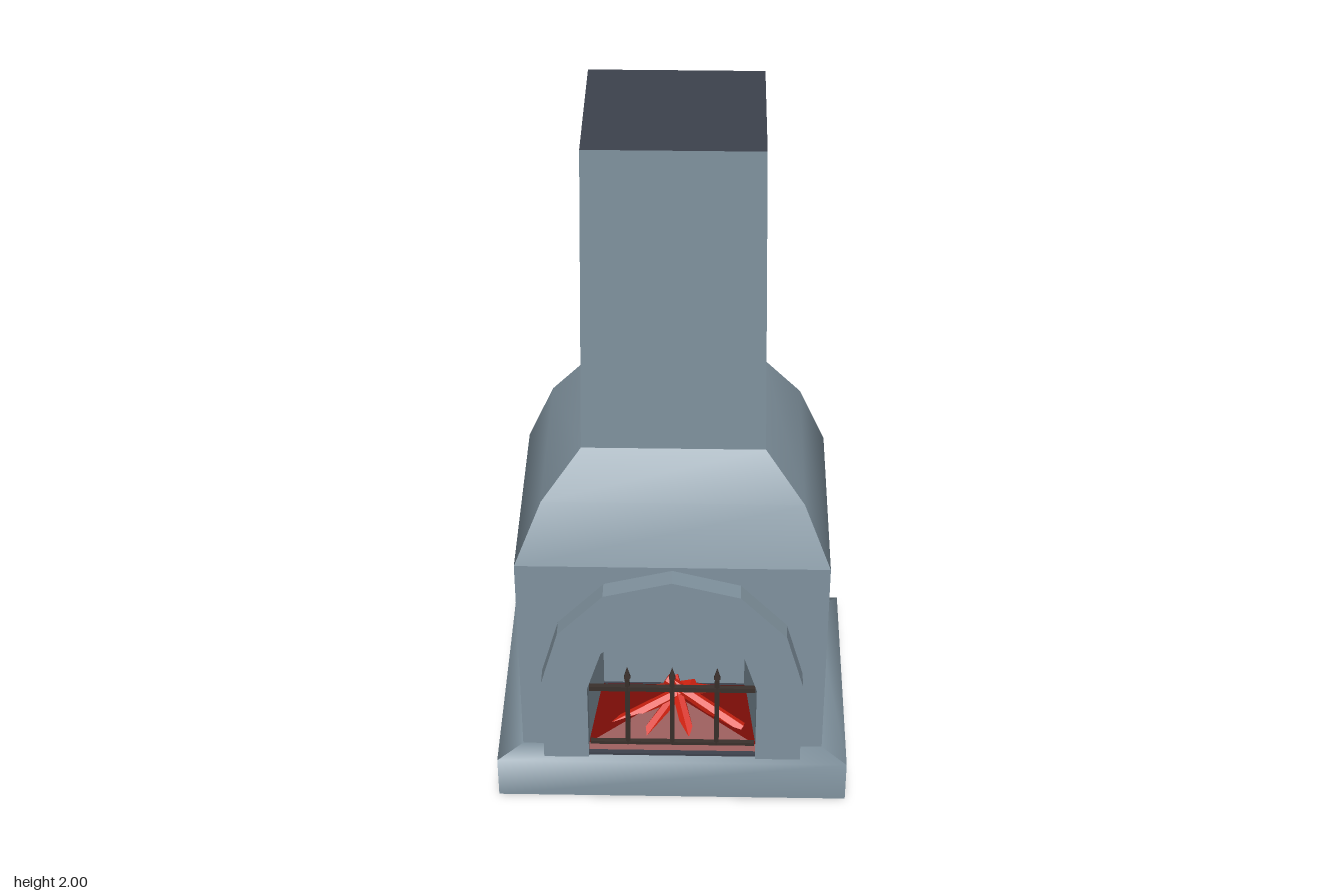
import * as THREE from 'three';

const mat = (name, color, extra = {}) => {
  const m = new THREE.MeshStandardMaterial({ color, ...extra });
  m.name = name;
  return m;
};

// One smooth wall strip per side of a stack of rectangular rings [y, halfWidth, zBack, zFront]
function wall(rings, side) {
  const pos = [], idx = [];
  rings.forEach(([y, w, zb, zf], r) => {
    const c = [[-w, zf], [w, zf], [w, zb], [-w, zb]];
    const a = c[side], b = c[(side + 1) % 4];
    pos.push(a[0], y, a[1], b[0], y, b[1]);
    if (r) {
      const k = 2 * (r - 1);
      idx.push(k, k + 1, k + 3, k, k + 3, k + 2);
    }
  });
  return surface(pos, idx);
}

function surface(pos, idx) {
  const g = new THREE.BufferGeometry();
  g.setAttribute('position', new THREE.Float32BufferAttribute(pos, 3));
  g.setIndex(idx);
  g.computeVertexNormals();
  return g;
}

// Mirror half an arch (right foot up to crown) into a full outline, right foot to left foot
const arch = (half) => [...half, ...half.slice(0, -1).reverse().map(([x, y]) => [-x, y])];
const toShape = (pts) => new THREE.Shape(pts.map(([x, y]) => new THREE.Vector2(x, y)));

export function createModel() {
  const model = new THREE.Group();
  const stone = mat('greyStone', 0x80929e, { side: THREE.DoubleSide });
  const slate = mat('darkSlate', 0x3d424d, { side: THREE.DoubleSide });
  const iron = mat('darkIron', 0x3a302c, { flatShading: true });
  const glow = mat('glowingRed', 0xd42210, { flatShading: true });
  const ember = mat('emberRed', 0x7c0d07, { flatShading: true, side: THREE.DoubleSide });

  const add = (name, geometry, material, parent = model) => {
    const m = new THREE.Mesh(geometry, material);
    m.name = name;
    parent.add(m);
    return m;
  };
  const group = (name) => {
    const g = new THREE.Group();
    g.name = name;
    model.add(g);
    return g;
  };

  const floorY = 0.135;
  const outer = arch([[0.37, floorY], [0.37, 0.42], [0.32, 0.6], [0.19, 0.74], [0, 0.79]]);
  const inner = arch([[0.24, floorY], [0.24, 0.4], [0.2, 0.53], [0.11, 0.63], [0, 0.66]]);
  const back = arch([[0.21, floorY], [0.21, 0.39], [0.18, 0.515], [0.1, 0.605], [0, 0.63]]);

  // Plinth, hood and chimney
  const plinth = [[0, 0.505, -0.375, 0.375], [floorY, 0.505, -0.375, 0.375], [floorY, 0.435, -0.325, 0.3]];
  const hood = [[floorY, 0.435, -0.325, 0.3], [0.8, 0.435, -0.315, 0.3], [0.97, 0.36, -0.312, 0.23], [1.08, 0.253, -0.31, 0.128]];
  const chimney = [[1.08, 0.253, -0.31, 0.128], [2, 0.235, -0.312, 0.126]];
  const base = group('plinth'), body = group('hood'), stack = group('chimney');
  for (let s = 0; s < 4; s++) {
    add('plinthWall', wall(plinth, s), stone, base);
    add('hoodWall', wall(s ? hood : hood.slice(1), s), stone, body);
    add('chimneyWall', wall(chimney, s), stone, stack);
  }
  const cap = add('chimneyCap', new THREE.PlaneGeometry(0.47, 0.438), slate, stack);
  cap.rotation.x = -Math.PI / 2;
  cap.position.set(0, 2, -0.093);

  // Front panel of the hood, cut out around the fire opening
  const panel = toShape([...[...inner].reverse(), [0.435, floorY], [0.435, 0.8], [-0.435, 0.8], [-0.435, floorY]]);
  add('frontPanel', new THREE.ShapeGeometry(panel), stone, body).position.z = 0.3;

  // Raised arch surround
  const surround = toShape([...outer, ...[...inner].reverse()]);
  add('archSurround', new THREE.ExtrudeGeometry(surround, { depth: 0.055, bevelEnabled: false }), stone)
    .position.z = 0.3;

  // Firebox: vault narrowing towards a flat back wall
  const firebox = group('firebox');
  const backZ = 0.04;
  for (let i = 0; i < inner.length - 1; i++) {
    const [a, b, c, d] = [inner[i], inner[i + 1], back[i + 1], back[i]];
    add('vaultPanel', surface([...a, 0.3, ...b, 0.3, ...c, backZ, ...d, backZ], [0, 1, 2, 0, 2, 3]), stone, firebox);
  }
  add('fireboxBack', new THREE.ShapeGeometry(toShape(back)), stone, firebox).position.z = backZ;
  add('hearthFloor', new THREE.BoxGeometry(0.48, 0.008, 0.305), slate, firebox).position.set(0, 0.139, 0.193);

  // Ember bed: low pyramid wider than the hearth floor
  const fire = group('fire');
  add('emberBed', surface(
    [-0.28, 0.141, 0.335, 0.28, 0.141, 0.335, 0.28, 0.141, 0.045, -0.28, 0.141, 0.045, 0, 0.225, 0.18],
    [0, 1, 4, 1, 2, 4, 2, 3, 4, 3, 0, 4]), ember, fire);

  // Burning logs leaning together
  const logs = [
    [[0.2, 0.155, 0.25], [-0.02, 0.275, 0.17]],
    [[-0.17, 0.155, 0.24], [0.04, 0.25, 0.18]],
    [[0.05, 0.15, 0.28], [0, 0.27, 0.15]],
    [[0.15, 0.15, 0.09], [-0.01, 0.27, 0.19]],
    [[-0.12, 0.15, 0.1], [0.06, 0.265, 0.18]],
    [[-0.08, 0.15, 0.28], [0.02, 0.235, 0.17]],
  ];
  logs.forEach(([p, q]) => {
    const a = new THREE.Vector3(...p), b = new THREE.Vector3(...q);
    const dir = b.clone().sub(a);
    const log = add('log', new THREE.CylinderGeometry(0.016, 0.02, dir.length(), 6), glow, fire);
    log.position.copy(a).add(b).multiplyScalar(0.5);
    log.quaternion.setFromUnitVectors(new THREE.Vector3(0, 1, 0), dir.normalize());
  });

  // Iron fire guard with spear-tipped uprights
  const guard = group('fireGuard');
  for (const y of [0.153, 0.365]) {
    add('guardRail', new THREE.BoxGeometry(0.475, 0.016, 0.014), iron, guard).position.set(0, y, 0.31);
  }
  for (const x of [-0.128, 0, 0.128]) {
    add('guardBar', new THREE.CylinderGeometry(0.008, 0.008, 0.27, 6), iron, guard).position.set(x, 0.275, 0.31);
    add('guardTip', new THREE.ConeGeometry(0.011, 0.04, 6), iron, guard).position.set(x, 0.425, 0.31);
  }
  return model;
}
